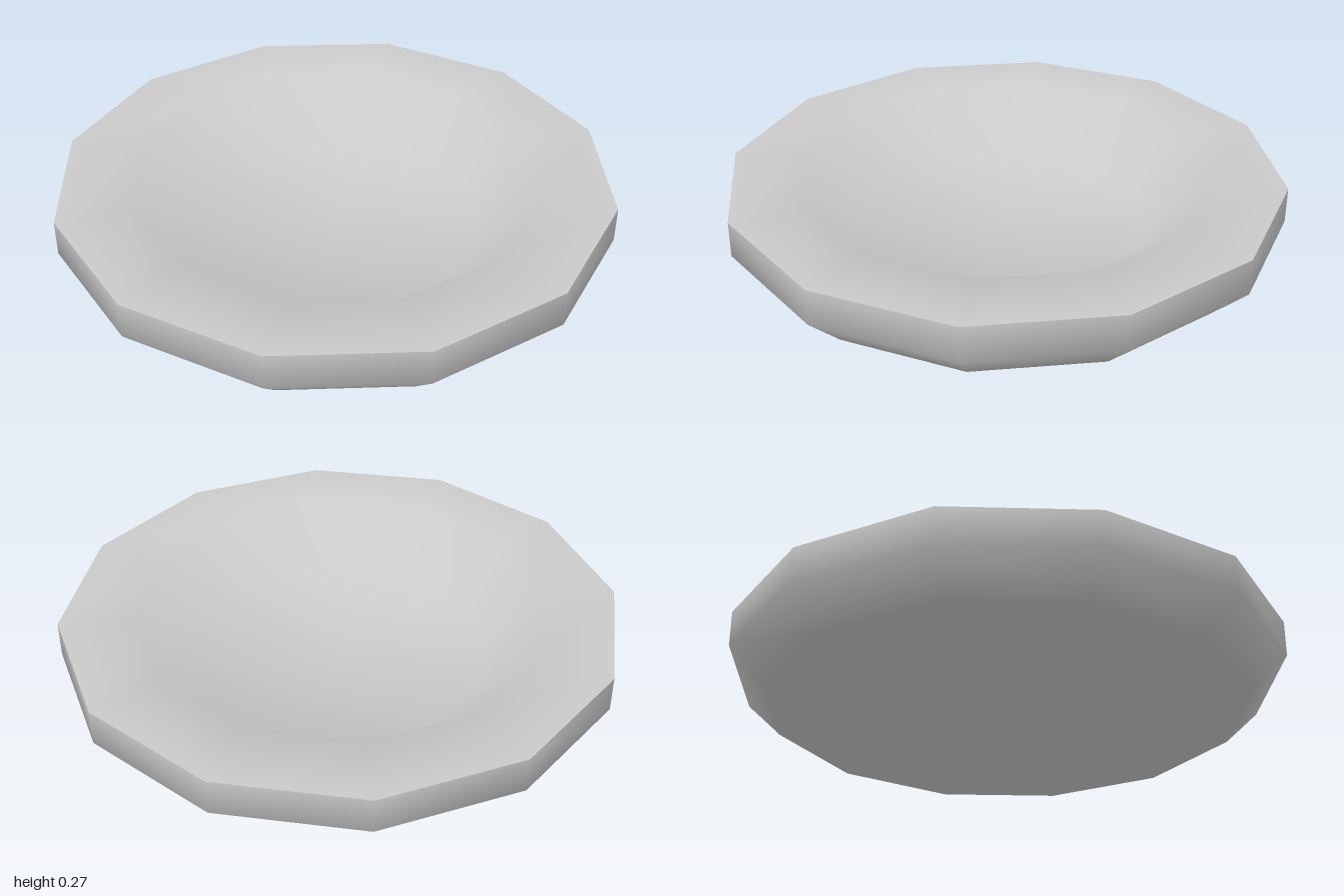
import * as THREE from 'three';
import { mergeVertices } from 'three/addons/utils/BufferGeometryUtils.js';

const SIDES = 12;
const CORNER = 1 / Math.cos(Math.PI / SIDES); // flat-side distance to corner radius

// Twelve-sided turned surface with smooth, area-weighted normals
function turned(name, profile, material) {
  const points = profile.map(([r, y]) => new THREE.Vector2(r * CORNER, y));
  let geometry = new THREE.LatheGeometry(points, SIDES, Math.PI / SIDES);
  geometry.deleteAttribute('normal');
  geometry.deleteAttribute('uv');
  geometry = mergeVertices(geometry, 1e-4);
  geometry.computeVertexNormals();
  const mesh = new THREE.Mesh(geometry, material);
  mesh.name = name;
  return mesh;
}

export function createModel() {
  const grey = new THREE.MeshStandardMaterial({ color: 0xcacaca });
  grey.name = 'plain grey';

  const dish = new THREE.Group();
  dish.name = 'dish';

  // Flat base, bevelled lower edge and upright side
  dish.add(turned('outerShell', [[0, 0], [0.866, 0], [1, 0.134], [1, 0.268]], grey));

  // Flat rim, sloping inner wall and floor
  dish.add(turned('rimAndBowl', [[1, 0.268], [0.732, 0.268], [0.536, 0.068], [0, 0.068]], grey));

  return dish;
}
